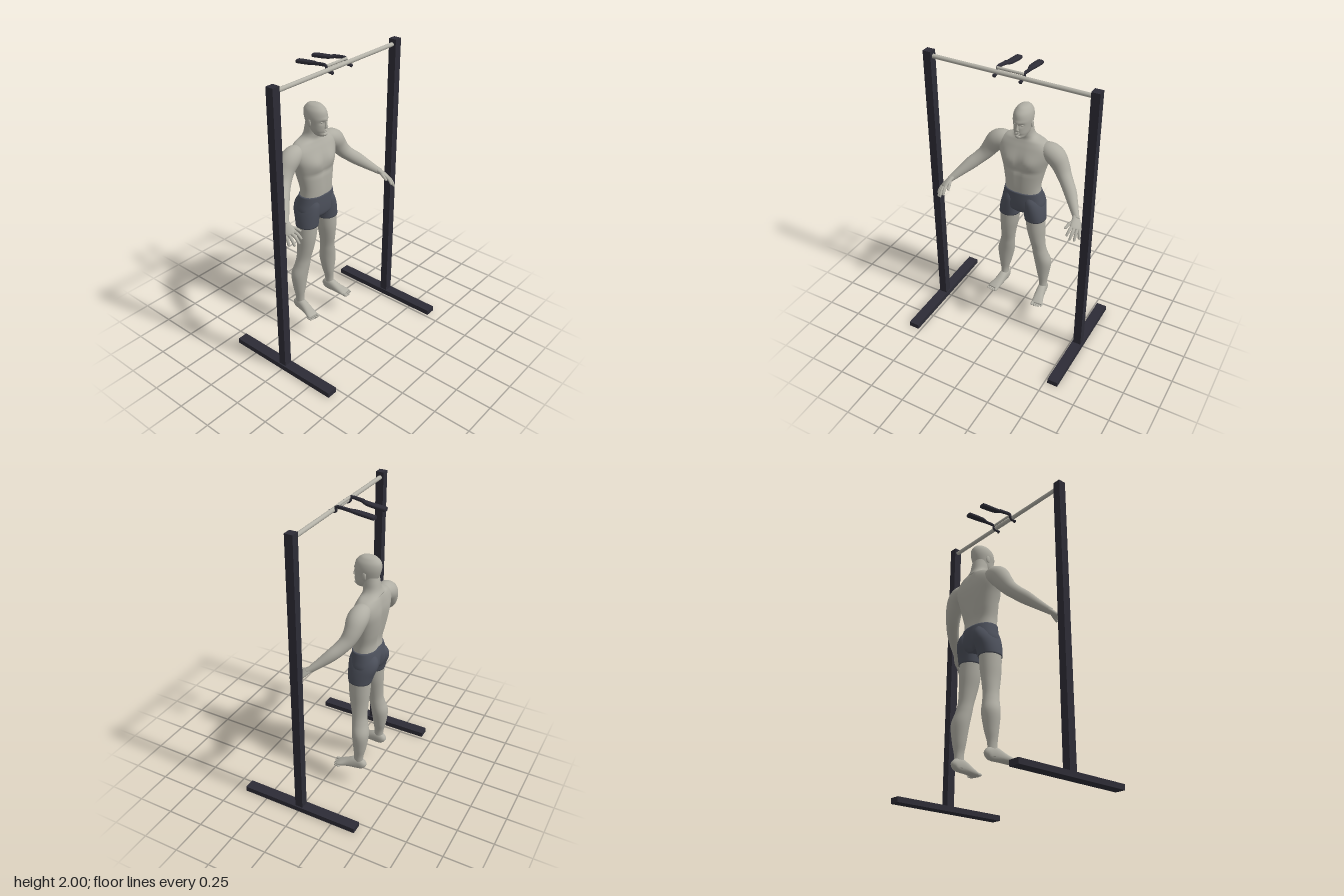
import * as THREE from 'three';

const mat = (name, color) => Object.assign(new THREE.MeshStandardMaterial({ color }), { name });
const bump = (d, w) => Math.exp(-(d * d) / (w * w));

// Catmull-Rom smoothing of station rows [x, y, z, ra, rb]
function refine(rows, n) {
  const out = [], at = i => rows[Math.max(0, Math.min(rows.length - 1, i))];
  for (let i = 0; i < rows.length - 1; i++) {
    for (let k = 0; k < n; k++) {
      const t = k / n, a = at(i - 1), b = at(i), c = at(i + 1), d = at(i + 2);
      out.push(b.map((v, q) => 0.5 * (2 * v + (c[q] - a[q]) * t
        + (2 * a[q] - 5 * v + 4 * c[q] - d[q]) * t * t
        + (3 * v - a[q] - 3 * c[q] + d[q]) * t * t * t)));
    }
  }
  out.push(rows[rows.length - 1]);
  return out;
}

// Closed skin through elliptical rings; ra lies along ref, rb across it
function loft(rows, { seg = 20, steps = 4, ref = [1, 0, 0], dir = null, power = 2, deform = null } = {}) {
  const st = refine(rows, steps), pos = [], idx = [];
  const R = new THREE.Vector3(...ref), P = r => new THREE.Vector3(r[0], r[1], r[2]);
  const root = v => Math.sign(v) * Math.pow(Math.abs(v), 2 / power);
  const push = p => { if (deform) deform(p); pos.push(p.x, p.y, p.z); };
  st.forEach((r, i) => {
    const t = dir ? new THREE.Vector3(...dir)
      : P(st[Math.min(i + 1, st.length - 1)]).sub(P(st[Math.max(i - 1, 0)])).normalize();
    const u = R.clone().addScaledVector(t, -R.dot(t)).normalize(), v = t.clone().cross(u);
    for (let j = 0; j < seg; j++) {
      const a = j / seg * Math.PI * 2;
      push(P(r).addScaledVector(u, r[3] * root(Math.cos(a))).addScaledVector(v, r[4] * root(Math.sin(a))));
    }
  });
  const last = (st.length - 1) * seg, c0 = st.length * seg;
  push(P(st[0])); push(P(st[st.length - 1]));
  for (let j = 0; j < seg; j++) {
    const k = (j + 1) % seg;
    for (let i = 0; i < last; i += seg) idx.push(i + j, i + k, i + seg + k, i + j, i + seg + k, i + seg + j);
    idx.push(c0, k, j, c0 + 1, last + j, last + k);
  }
  const g = new THREE.BufferGeometry();
  g.setAttribute('position', new THREE.Float32BufferAttribute(pos, 3));
  g.setIndex(idx);
  g.computeVertexNormals();
  return g;
}

// Upright rows given as [y, centre x, half width, front z, back z]
const upright = (rows, opt) => loft(rows.map(([y, cx, rx, f, b]) => [cx, y, (f + b) / 2, rx, (f - b) / 2]),
  { dir: [0, 1, 0], ...opt });

function mirror(g) {
  g.scale(-1, 1, 1);
  const a = g.index.array;
  for (let i = 0; i < a.length; i += 3) [a[i], a[i + 1]] = [a[i + 1], a[i]];
  g.computeVertexNormals();
  return g;
}

const ball = (x, y, z, rx, ry, rz) => new THREE.SphereGeometry(1, 16, 12).scale(rx, ry, rz).translate(x, y, z);
const box = (w, h, d, x, y, z) => new THREE.BoxGeometry(w, h, d).translate(x, y, z);

export function createModel() {
  const skin = mat('skin', 0xb0aea4), cloth = mat('shorts', 0x4c505b);
  const frame = mat('darkFrame', 0x2d2c36), steel = mat('steelBar', 0xb4b2a8);
  const model = new THREE.Group();
  const group = name => { const g = new THREE.Group(); g.name = name; model.add(g); return g; };
  const add = (parent, name, geo, m) => {
    const mesh = new THREE.Mesh(geo, m);
    mesh.name = name;
    parent.add(mesh);
  };
  const pair = (parent, name, make, m) => {
    add(parent, 'left' + name, make(), m);
    add(parent, 'right' + name, mirror(make()), m);
  };

  // Stand: posts, floor beams and pull-up bar
  const stand = group('stand');
  pair(stand, 'Post', () => box(0.055, 2, 0.054, 0.556, 1, -0.002), frame);
  pair(stand, 'FloorBeam', () => box(0.073, 0.036, 0.834, 0.556, 0.018, -0.002), frame);
  add(stand, 'pullUpBar', new THREE.CylinderGeometry(0.014, 0.014, 1.06, 20).rotateZ(Math.PI / 2).translate(0, 1.964, -0.004), steel);

  // Grip attachment hooked over the bar
  const grips = group('gripAttachment');
  add(grips, 'crossTube', new THREE.CylinderGeometry(0.009, 0.009, 0.18, 16).rotateZ(Math.PI / 2).translate(0, 1.984, -0.018), steel);
  pair(grips, 'Hook', () => new THREE.TubeGeometry(new THREE.CatmullRomCurve3([
    [0.087, 1.95, 0.02], [0.087, 1.95, -0.006], [0.09, 1.962, -0.022], [0.09, 1.985, -0.022], [0.086, 1.982, -0.12],
  ].map(p => new THREE.Vector3(...p))), 30, 0.008, 10), frame);
  pair(grips, 'HookKnob', () => ball(0.087, 1.95, 0.022, 0.012, 0.012, 0.008), frame);
  pair(grips, 'Handle', () => loft([
    [0.089, 1.985, -0.02, 0.007, 0.007], [0.084, 1.978, -0.1, 0.012, 0.009],
    [0.074, 1.97, -0.15, 0.021, 0.012], [0.073, 1.958, -0.255, 0.023, 0.013], [0.073, 1.957, -0.265, 0.018, 0.01],
  ], { power: 3 }), frame);

  // Torso with chest, spine and belly relief
  const body = group('figure');
  add(body, 'torso', upright([
    [1.03, 0, 0.127, -0.122, -0.284], [1.1, 0, 0.127, -0.12, -0.281], [1.18, 0, 0.142, -0.12, -0.297],
    [1.26, 0, 0.163, -0.122, -0.31], [1.33, 0, 0.187, -0.13, -0.315], [1.385, 0, 0.19, -0.148, -0.308],
    [1.425, 0, 0.145, -0.165, -0.298], [1.448, 0, 0.085, -0.172, -0.288], [1.475, 0, 0.061, -0.168, -0.278],
    [1.52, 0, 0.054, -0.16, -0.27], [1.57, 0, 0.05, -0.155, -0.26],
  ], {
    seg: 48, steps: 6, power: 2.25, deform: p => {
      if (p.z < -0.24 && p.y < 1.44) p.z += 0.02 * bump(p.x, 0.028) * bump(p.y - 1.25, 0.2);
      if (p.z > -0.2) {
        p.z += 0.016 * bump(Math.abs(p.x) - 0.075, 0.06) * bump(p.y - 1.29, 0.05);
        p.z -= 0.006 * bump(p.x, 0.015) * bump(p.y - 1.2, 0.15);
        p.z -= 0.006 * bump(p.y - 1.22, 0.018) * bump(p.x, 0.13);
      }
    },
  }), skin);

  // Head with eye hollows, brow, nose, lips and ears
  add(body, 'head', upright([
    [1.472, 0, 0.024, -0.122, -0.19], [1.483, 0, 0.036, -0.11, -0.215], [1.51, 0, 0.05, -0.108, -0.247],
    [1.55, 0, 0.057, -0.107, -0.267], [1.6, 0, 0.063, -0.106, -0.281], [1.64, 0, 0.057, -0.115, -0.279],
    [1.667, 0, 0.04, -0.14, -0.258], [1.678, 0, 0.024, -0.16, -0.238], [1.682, 0, 0.006, -0.185, -0.205],
  ], {
    seg: 40, steps: 6, deform: p => {
      if (p.z < -0.16) return;
      p.z -= 0.01 * bump(Math.abs(p.x) - 0.024, 0.013) * bump(p.y - 1.572, 0.011);
      p.z += 0.005 * bump(p.x, 0.04) * bump(p.y - 1.59, 0.01);
      p.z -= 0.005 * bump(p.y - 1.5, 0.008) * bump(p.x, 0.04);
    },
  }), skin);
  add(body, 'nose', loft([[0, 1.534, -0.108, 0.013, 0.006], [0, 1.541, -0.103, 0.012, 0.01],
    [0, 1.56, -0.106, 0.007, 0.008], [0, 1.582, -0.111, 0.006, 0.008]], { seg: 14, dir: [0, 1, 0] }), skin);
  add(body, 'upperLip', ball(0, 1.519, -0.109, 0.018, 0.005, 0.007), skin);
  add(body, 'lowerLip', ball(0, 1.51, -0.11, 0.015, 0.005, 0.007), skin);
  add(body, 'chin', ball(0, 1.488, -0.115, 0.02, 0.012, 0.01), skin);
  pair(body, 'Eye', () => ball(0.024, 1.572, -0.125, 0.01, 0.007, 0.009), skin);
  pair(body, 'Ear', () => ball(0.06, 1.562, -0.195, 0.007, 0.026, 0.015).rotateY(0), skin);

  // Shorts: seat and two legs
  const shorts = group('shorts');
  add(shorts, 'seat', upright([
    [0.885, 0, 0.09, -0.14, -0.275], [0.91, 0, 0.14, -0.12, -0.295], [0.95, 0, 0.153, -0.115, -0.307],
    [1, 0, 0.143, -0.115, -0.304], [1.053, 0, 0.131, -0.118, -0.288],
  ], {
    seg: 48, power: 2.3, deform: p => {
      if (p.z < -0.24) p.z += 0.025 * bump(p.x, 0.018) * bump(p.y - 0.93, 0.06);
    },
  }), cloth);
  pair(shorts, 'Leg', () => upright([
    [0.832, 0.097, 0.074, -0.123, -0.277], [0.88, 0.092, 0.074, -0.118, -0.29],
    [0.94, 0.083, 0.071, -0.114, -0.311], [0.99, 0.074, 0.06, -0.116, -0.309], [1.03, 0.066, 0.042, -0.13, -0.285],
  ], { seg: 28, power: 2.15 }), cloth);

  // Legs and feet
  const legs = group('legs');
  pair(legs, 'Leg', () => upright([
    [0.165, 0.157, 0.028, -0.19, -0.262], [0.25, 0.158, 0.027, -0.196, -0.262], [0.33, 0.154, 0.043, -0.188, -0.279],
    [0.44, 0.148, 0.061, -0.177, -0.291], [0.52, 0.132, 0.054, -0.168, -0.274], [0.58, 0.122, 0.05, -0.161, -0.265],
    [0.66, 0.112, 0.054, -0.143, -0.267], [0.75, 0.103, 0.064, -0.13, -0.272], [0.85, 0.096, 0.07, -0.126, -0.274],
  ], { seg: 28, steps: 5 }), skin);
  pair(legs, 'Foot', () => loft([
    [0.155, 0.172, -0.277, 0.012, 0.014], [0.156, 0.18, -0.262, 0.026, 0.034], [0.158, 0.19, -0.22, 0.031, 0.045],
    [0.167, 0.174, -0.15, 0.035, 0.029], [0.178, 0.162, -0.1, 0.04, 0.017], [0.181, 0.157, -0.08, 0.037, 0.011],
  ], { seg: 20, power: 2.3 }), skin);
  for (let i = 0; i < 5; i++) {
    const r = i ? 0.0085 - i * 0.0004 : 0.012;
    pair(legs, 'Toe' + (i + 1), () => ball(0.152 + i * 0.0155 + (i ? 0.003 : 0), 0.145 + r, -0.077 - i * i * 0.0009, r, r, 0.024), skin);
  }

  // Arms: shoulder, elbow and wrist, then palm and fingers
  const arms = group('arms');
  pair(arms, 'Arm', () => loft([
    [0.12, 1.385, -0.235, 0.04, 0.045], [0.165, 1.372, -0.232, 0.062, 0.062], [0.215, 1.345, -0.23, 0.068, 0.066],
    [0.255, 1.292, -0.225, 0.06, 0.056], [0.29, 1.24, -0.208, 0.05, 0.048], [0.328, 1.2, -0.18, 0.045, 0.043],
    [0.37, 1.162, -0.142, 0.043, 0.039], [0.415, 1.118, -0.092, 0.033, 0.03], [0.458, 1.077, -0.042, 0.024, 0.02],
    [0.47, 1.066, -0.025, 0.022, 0.018],
  ], { seg: 28, ref: [0.7, 0.7, 0] }), skin);
  pair(arms, 'Palm', () => loft([
    [0.455, 1.08, -0.045, 0.02, 0.017], [0.468, 1.067, -0.025, 0.027, 0.017],
    [0.482, 1.046, 0.005, 0.037, 0.016], [0.489, 1.033, 0.026, 0.036, 0.013], [0.491, 1.029, 0.032, 0.026, 0.008],
  ], { ref: [0.8, -0.35, -0.5] }), skin);
  const fingers = {
    Thumb: [[0.462, 1.062, -0.015], [0.444, 1.053, 0.025], [0.433, 1.04, 0.058]],
    IndexFinger: [[0.466, 1.046, 0.025], [0.462, 1.034, 0.06], [0.457, 1.008, 0.086]],
    MiddleFinger: [[0.482, 1.038, 0.026], [0.483, 1.02, 0.064], [0.481, 0.988, 0.09]],
    RingFinger: [[0.497, 1.03, 0.02], [0.503, 1.008, 0.05], [0.504, 0.976, 0.073]],
    LittleFinger: [[0.509, 1.023, 0.01], [0.519, 1.004, 0.03], [0.525, 0.977, 0.043]],
  };
  for (const [name, [a, b, c]] of Object.entries(fingers)) {
    const tip = c.map((v, i) => v + (c[i] - b[i]) * 0.12);
    pair(arms, name, () => loft([[...a, 0.011, 0.011], [...b, 0.01, 0.01], [...c, 0.008, 0.008], [...tip, 0.003, 0.003]],
      { seg: 10 }), skin);
  }
  return model;
}
